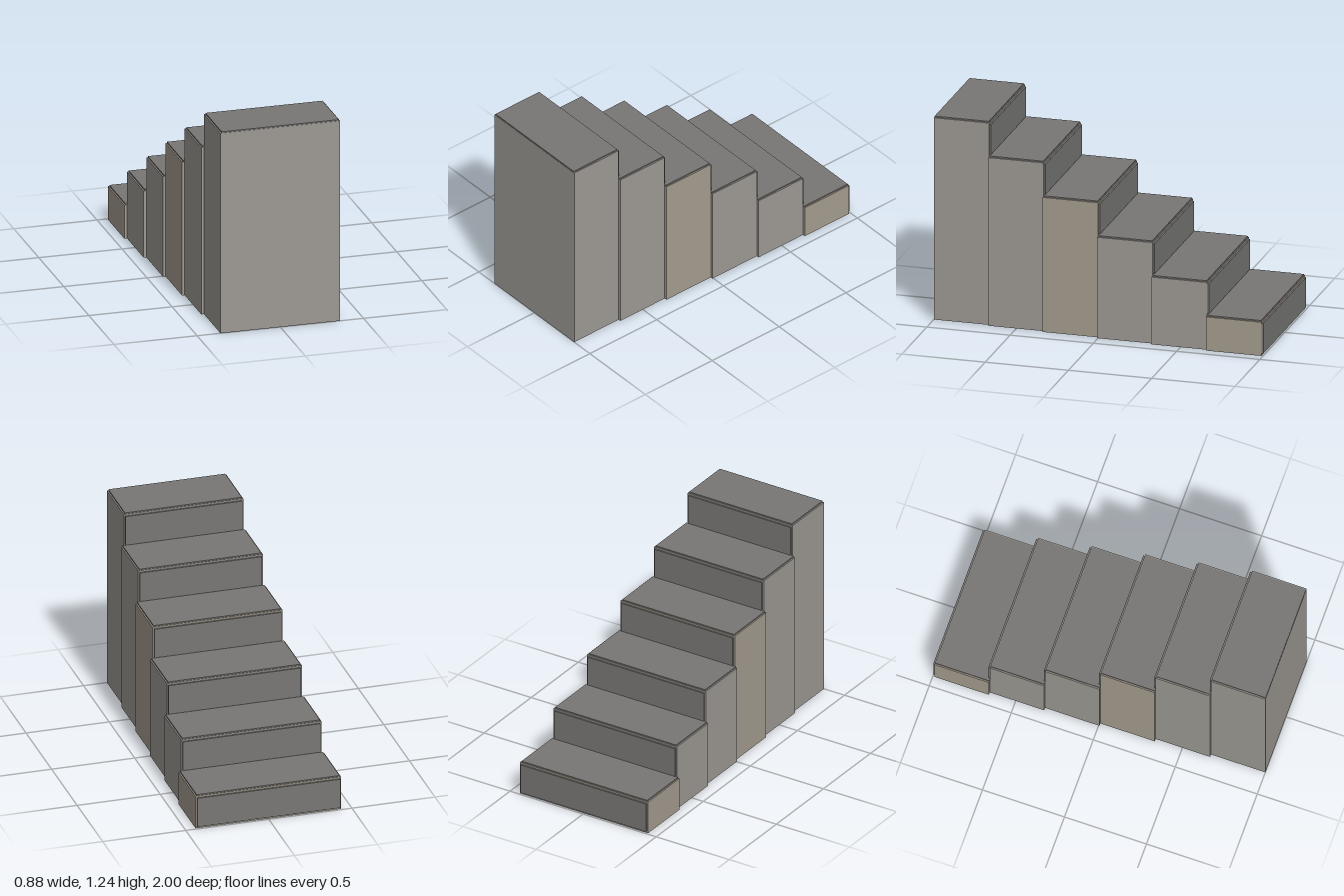
import * as THREE from 'three';

const STEPS = 6, RISE = 0.2045, DEPTH = 1.99 / STEPS, PLATE = 0.008, INSET = 0.008;

export function createModel() {
  const model = new THREE.Group();
  model.name = 'staircase';
  const stone = new THREE.MeshStandardMaterial({ color: 0x9d9a94 });
  const warmStone = new THREE.MeshStandardMaterial({ color: 0xa59c8f });
  const slab = new THREE.MeshStandardMaterial({ color: 0x787775 });

  // Box given by half width, y range and z range
  const addBox = (parent, name, material, half, y0, y1, z0, z1) => {
    const mesh = new THREE.Mesh(new THREE.BoxGeometry(half * 2, y1 - y0, z1 - z0), material);
    mesh.position.set(0, (y0 + y1) / 2, (z0 + z1) / 2);
    mesh.name = name;
    parent.add(mesh);
  };

  // Steps climb from the back to the front, narrowing as they rise
  for (let i = 0; i < STEPS; i++) {
    const step = new THREE.Group();
    step.name = `step${i + 1}`;
    const half = 0.438 - i * 0.0157;
    const top = RISE * (i + 1);
    const back = -0.99 + DEPTH * i;
    const front = back + DEPTH;

    addBox(step, 'block', i % 3 === 0 ? warmStone : stone, half, 0, top, back, front);
    // Thin tread on top and riser plate on the back face
    addBox(step, 'tread', slab, half - INSET, top, top + PLATE, back + 0.004, front - 0.002);
    addBox(step, 'riser', slab, half - INSET, RISE * i + 0.012, top - 0.01, back - 0.01, back);
    model.add(step);
  }
  return model;
}
